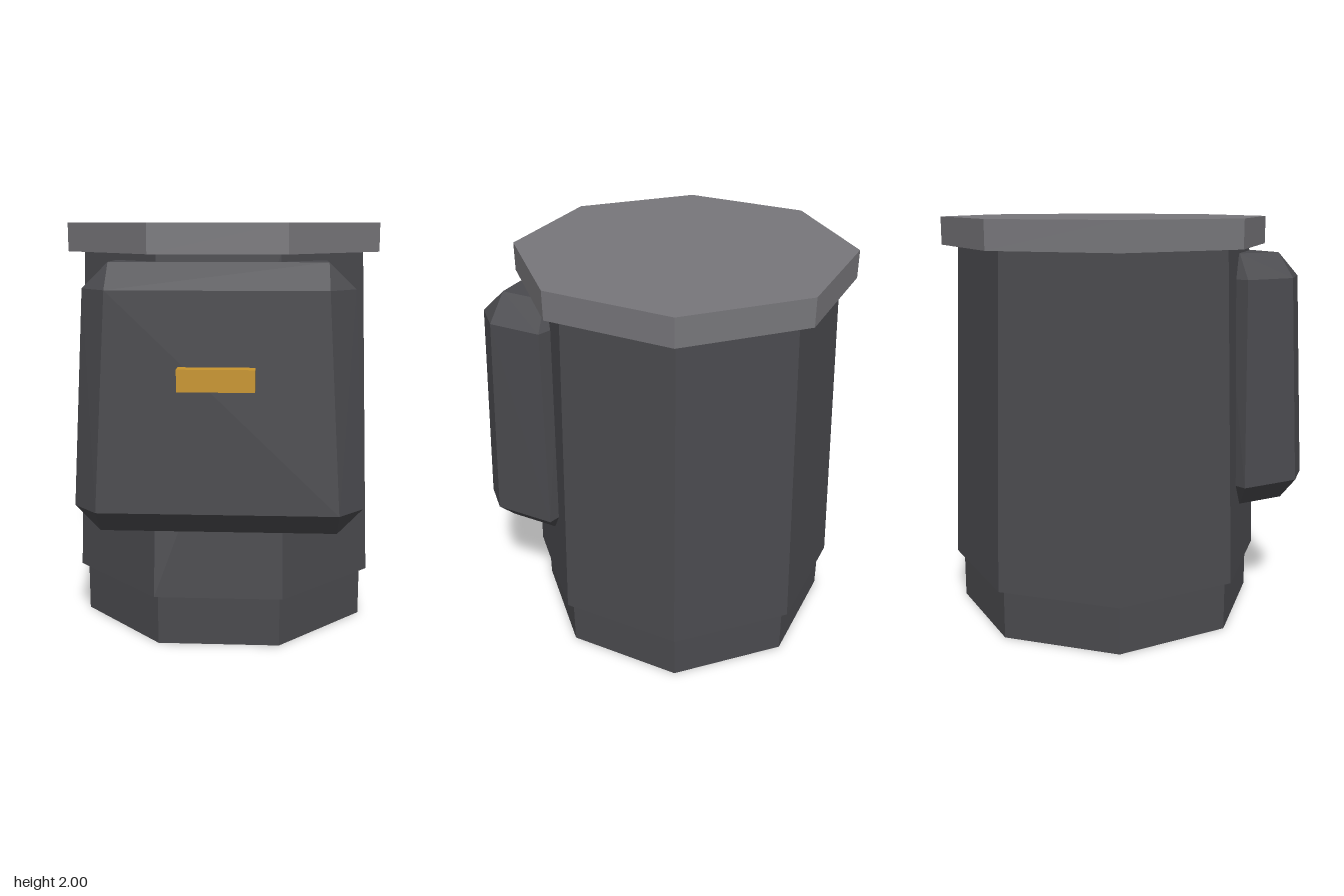
import * as THREE from 'three';
import { ConvexGeometry } from 'three/addons/geometries/ConvexGeometry.js';

const material = (name, color) => {
  const m = new THREE.MeshStandardMaterial({ color, flatShading: true });
  m.name = name;
  return m;
};

export function createModel() {
  const group = new THREE.Group();
  const charcoal = material('charcoal', 0x4a4a4e);
  const grey = material('grey', 0x77767a);
  const gold = material('gold', 0xc9952d);

  const add = (name, geometry, mat, x, y, z) => {
    const mesh = new THREE.Mesh(geometry, mat);
    mesh.name = name;
    mesh.position.set(x, y, z);
    group.add(mesh);
  };

  // Octagonal drum with flats facing front and sides; radii measured to the flats
  const axisZ = -0.075;
  const octagon = (name, mat, rBottom, rTop, y0, y1) => {
    const k = 1 / Math.cos(Math.PI / 8);
    const g = new THREE.CylinderGeometry(rTop * k, rBottom * k, y1 - y0, 8);
    g.rotateY(Math.PI / 8);
    add(name, g, mat, 0, (y0 + y1) / 2, axisZ);
  };
  octagon('base', charcoal, 0.705, 0.705, 0, 0.25);
  octagon('body', charcoal, 0.738, 0.68, 0.25, 1.865);
  octagon('lid', grey, 0.755, 0.755, 1.863, 2);

  // Tapered front pouch with chamfered edges: three points at each corner
  const levels = [
    { yEnd: 0.578, y: 0.70, xSide: 0.672, x: 0.555, front: 0.775, zFront: 0.653, back: 0.312, zBack: 0.345, zEnd: 0.40 },
    { yEnd: 1.828, y: 1.71, xSide: 0.615, x: 0.494, front: 0.755, zFront: 0.632, back: 0.324, zBack: 0.367, zEnd: 0.40 },
  ];
  const points = [];
  for (const l of levels) {
    for (const s of [-1, 1]) {
      for (const [face, side, end] of [[l.front, l.zFront, l.zFront], [l.back, l.zBack, l.zEnd]]) {
        points.push(
          new THREE.Vector3(s * l.x, l.y, face),
          new THREE.Vector3(s * l.xSide, l.y, side),
          new THREE.Vector3(s * l.x, l.yEnd, end),
        );
      }
    }
  }
  add('frontPouch', new ConvexGeometry(points), charcoal, 0, 0, 0);

  // Clasp on the pouch
  add('clasp', new THREE.BoxGeometry(0.345, 0.1, 0.085), gold, 0, 1.325, 0.79);

  return group;
}
